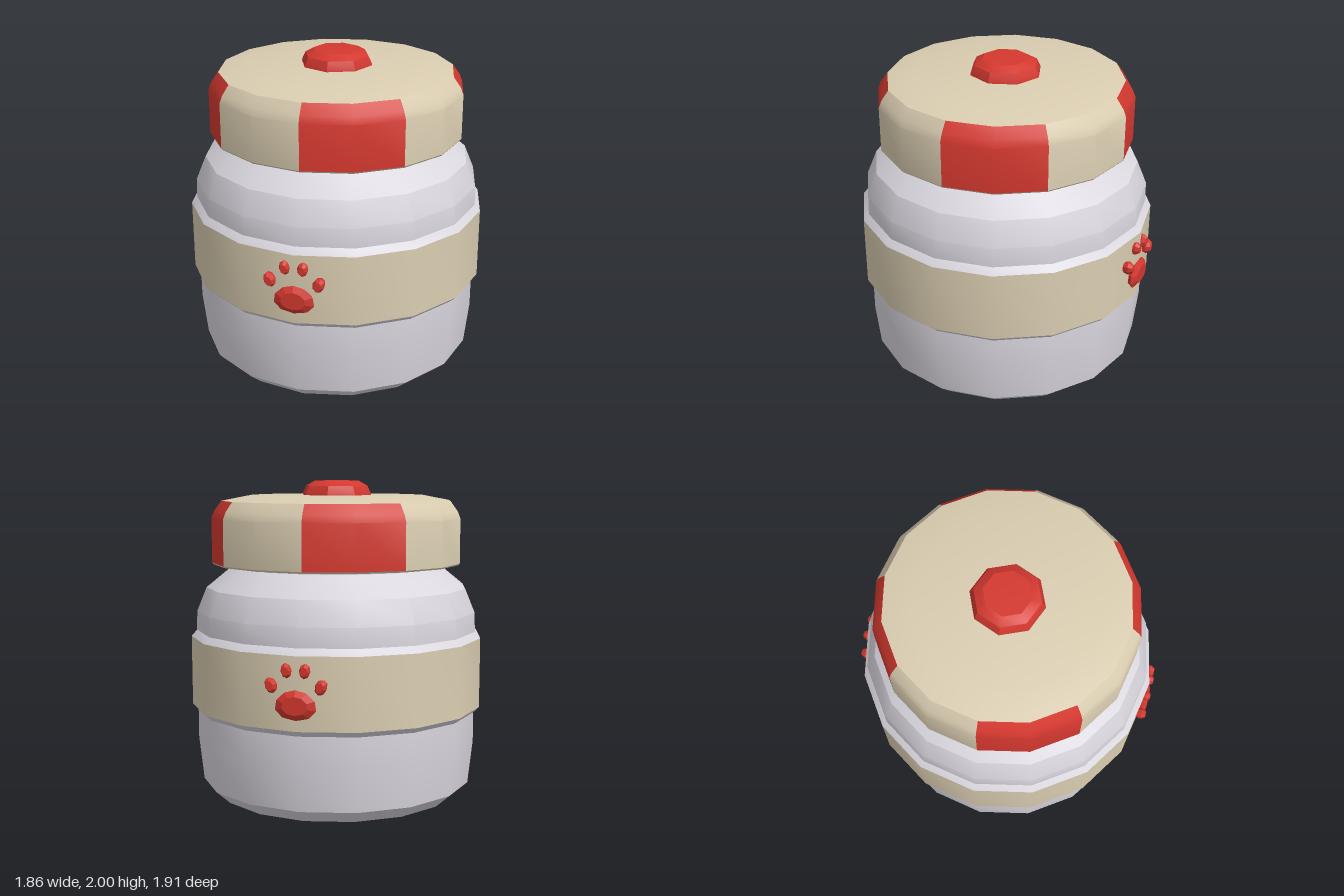
import * as THREE from 'three';
import { toCreasedNormals } from 'three/addons/utils/BufferGeometryUtils.js';

const material = (name, color) => {
  const m = new THREE.MeshStandardMaterial({ color });
  m.name = name;
  return m;
};

// Revolve a [radius, height] profile, keeping hard edges crisp
function turned(profile, sides, start = 0, sweep = Math.PI * 2) {
  const points = profile.map(([r, y]) => new THREE.Vector2(r, y));
  return toCreasedNormals(new THREE.LatheGeometry(points, sides, start, sweep), 0.45);
}

export function createModel() {
  const white = material('glazed white', 0xd9d6de);
  const cream = material('cream', 0xdacdb1);
  const red = material('red', 0xd4382f);

  const jar = new THREE.Group();
  jar.name = 'jar';
  const add = (parent, name, geometry, mat) => {
    const mesh = new THREE.Mesh(geometry, mat);
    mesh.name = name;
    parent.add(mesh);
    return mesh;
  };

  // Body: base, painted belt and shoulder
  add(jar, 'lowerBody', turned([[0, 0], [0.77, 0], [0.865, 0.085], [0.895, 0.36], [0.895, 0.545], [0.93, 0.58]], 16), white);
  add(jar, 'belt', turned([[0.93, 0.58], [0.93, 1.02]], 16), cream);
  add(jar, 'upperBody', turned([[0.93, 1.02], [0.895, 1.06], [0.892, 1.18], [0.83, 1.33], [0.67, 1.46], [0.67, 1.5]], 16), white);

  // Lid: underside, eight alternating rim panels, shallow top
  const lid = new THREE.Group();
  lid.name = 'lid';
  jar.add(lid);
  add(lid, 'lidUnderside', turned([[0, 1.475], [0.785, 1.475], [0.793, 1.485]], 16), cream);
  const rim = [[0.793, 1.485], [0.793, 1.765], [0.775, 1.81], [0.73, 1.872]];
  for (let i = 0; i < 8; i++) {
    const isRed = i % 2 === 0;
    add(lid, isRed ? 'redRimPanel' : 'creamRimPanel',
      turned(rim, 2, i * Math.PI / 4, Math.PI / 4), isRed ? red : cream);
  }
  add(lid, 'lidTop', turned([[0.73, 1.872], [0.56, 1.905], [0, 1.908]], 16), cream);
  add(lid, 'knob', turned([[0.225, 1.9], [0.222, 1.92], [0.2, 1.965], [0.145, 1.996], [0, 2]], 8), red);

  // Faceted pad facing +z
  function pad(parent, name, x, y, z, w, h, depth, sides, tilt = 0) {
    const g = turned([[0.85, 0], [1, 0.55], [0.62, 1], [0, 1]], sides).rotateX(Math.PI / 2);
    const mesh = add(parent, name, g, red);
    mesh.scale.set(w, h, depth);
    mesh.rotation.z = tilt;
    mesh.position.set(x, y, z);
    return mesh;
  }

  // Paw mark on the front and back of the belt
  for (const [name, turn] of [['frontPaw', 0], ['backPaw', Math.PI]]) {
    const paw = new THREE.Group();
    paw.name = name;
    paw.rotation.y = turn;
    jar.add(paw);
    const main = pad(paw, 'mainPad', 0, 0.735, 0.9, 0.125, 0.09, 0.055, 10);
    // Broaden the lower half of the main pad
    const p = main.geometry.attributes.position;
    for (let i = 0; i < p.count; i++) p.setX(i, p.getX(i) * (1 - 0.12 * p.getY(i)));
    for (const s of [-1, 1]) {
      pad(paw, 'outerToe', s * 0.149, 0.845, 0.895, 0.036, 0.048, 0.058, 8, -s * 0.35);
      pad(paw, 'innerToe', s * 0.055, 0.935, 0.9, 0.033, 0.045, 0.055, 8, -s * 0.12);
    }
  }
  return jar;
}
